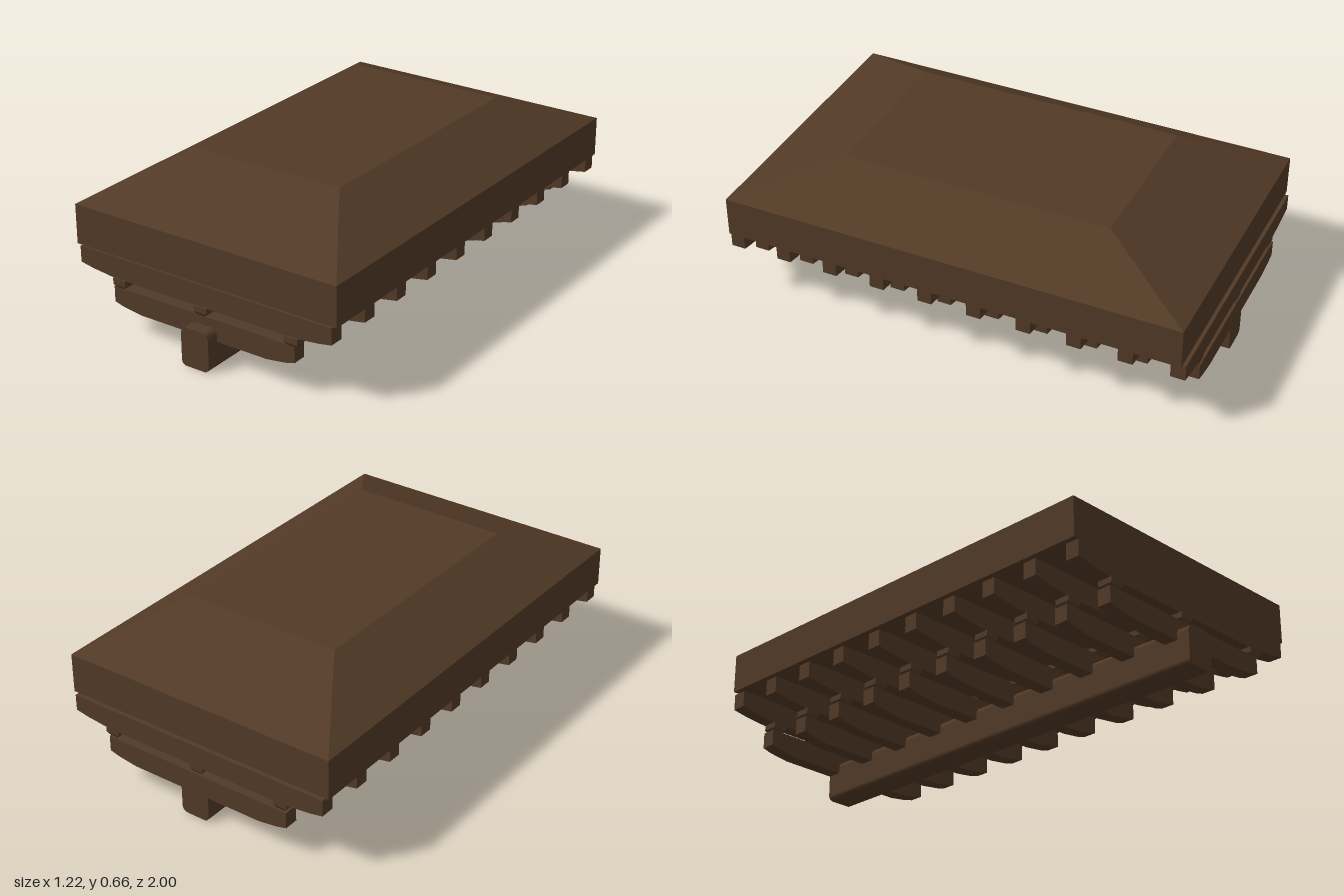
import * as THREE from 'three';

// Extrude an xy outline along z, centred on z = 0
function prism(points, depth) {
  const shape = new THREE.Shape(points.map(([x, y]) => new THREE.Vector2(x, y)));
  const g = new THREE.ExtrudeGeometry(shape, { depth, bevelEnabled: false });
  return g.translate(0, 0, -depth / 2);
}

// Crossbeam outline: flat top, underside curving up towards both ends
function beam(half, top, under, depth) {
  const left = under.map(([x, y]) => [-x, y]);
  return prism([[half, top], [-half, top], ...left, ...[...under].reverse()], depth);
}

// Box in two levels; rule(level, x, z) gives each level's [x, y, z] (level 0 is the bottom)
function tieredBox(width, depth, rule) {
  const g = new THREE.BoxGeometry(width, 2, depth, 1, 2, 1);
  const p = g.attributes.position;
  for (let i = 0; i < p.count; i++) {
    p.setXYZ(i, ...rule(Math.round(p.getY(i)) + 1, p.getX(i), p.getZ(i)));
  }
  g.computeVertexNormals();
  return g;
}

export function createModel() {
  const root = new THREE.Group();
  const wood = new THREE.MeshStandardMaterial({ color: 0x523a26, flatShading: true });
  wood.name = 'dark brown wood';

  const add = (name, geometry, x = 0, y = 0, z = 0) => {
    const mesh = new THREE.Mesh(geometry, wood);
    mesh.name = name;
    mesh.position.set(x, y, z);
    root.add(mesh);
  };

  // Top block with a hipped upper half
  const block = tieredBox(1.22, 1.927, (level, x, z) => (level === 2
    ? [Math.sign(x) * 0.343, 0.656, Math.sign(z) * 0.5625]
    : [x, [0.329, 0.495][level], z]));
  add('hippedBlock', block, 0, 0, -0.0225);

  // Ten pairs of crossbeams with tapered pegs between them
  const upper = beam(0.592, 0.325, [[0.592, 0.257], [0.53, 0.246], [0.42, 0.234]], 0.06);
  const lower = beam(0.427, 0.2, [[0.427, 0.133], [0.385, 0.122], [0.3, 0.11]], 0.06);
  const peg = tieredBox(0.06, 0.064, (level, x, z) => (level === 0
    ? [x * 0.6, 0.198, z * 0.75]
    : [x, [0, 0.212, 0.236][level], z]));
  for (let i = 0; i < 10; i++) {
    const z = 0.915 - i * 0.2094;
    add('upperCrossbeam', upper, 0, 0, z);
    add('lowerCrossbeam', lower, 0, 0, z);
    for (const x of [-0.396, -0.003, 0.414]) add('peg', peg, x, 0, z + 0.005);
  }

  // Long rail below, its corners softer along the top
  const left = -0.057, right = 0.071, h = 0.163, low = 0.022, high = 0.03;
  const s = new THREE.Shape();
  s.absarc(right - low, low, low, -Math.PI / 2, 0);
  s.absarc(right - high, h - high, high, 0, Math.PI / 2);
  s.absarc(left + high, h - high, high, Math.PI / 2, Math.PI);
  s.absarc(left + low, low, low, Math.PI, Math.PI * 1.5);
  const keel = new THREE.ExtrudeGeometry(s, { depth: 2, bevelEnabled: false, curveSegments: 4 });
  add('keelRail', keel, 0, 0, -1);

  return root;
}
